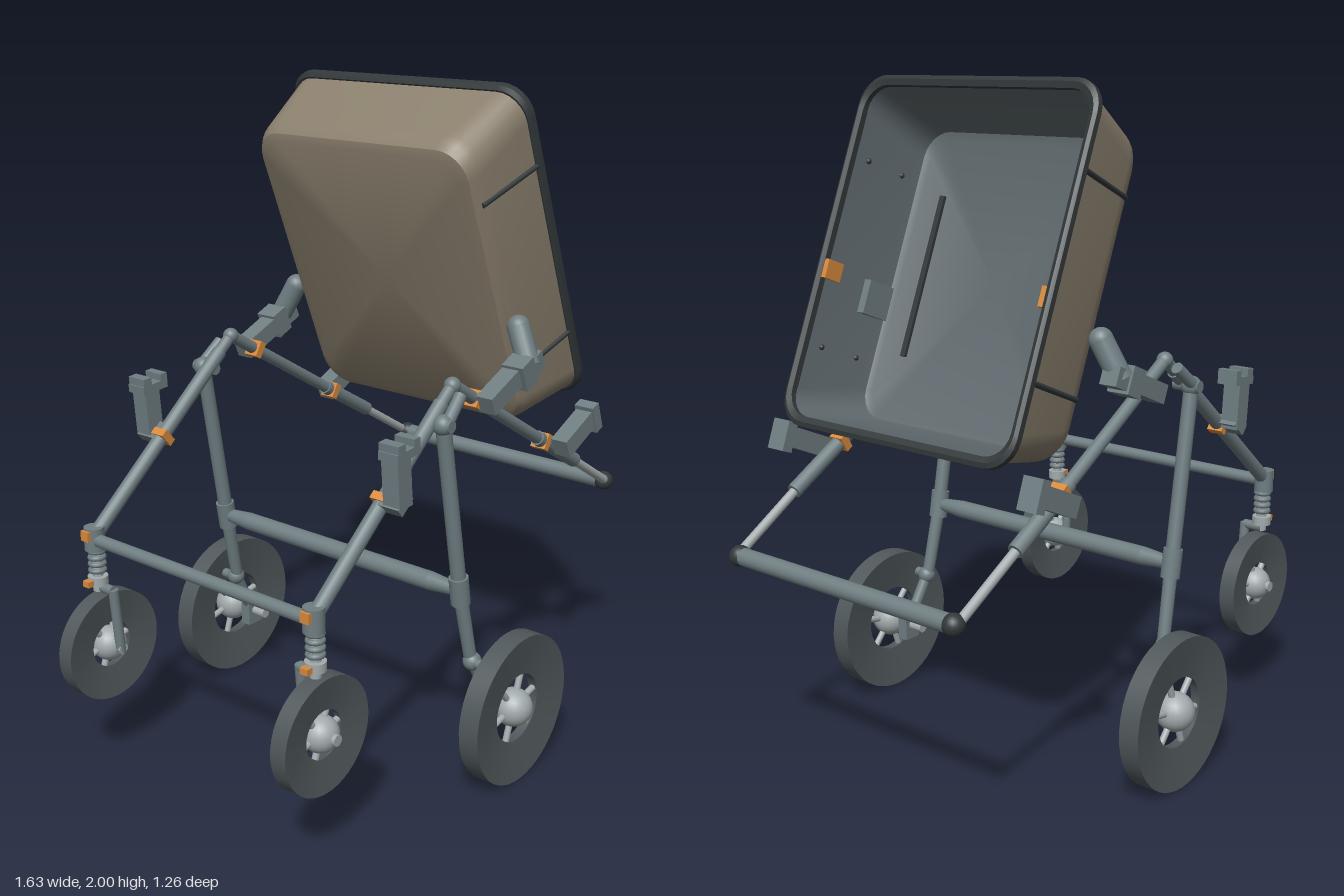
import * as THREE from 'three';
import { toCreasedNormals } from 'three/addons/utils/BufferGeometryUtils.js';

const mat = (name, color) => Object.assign(new THREE.MeshStandardMaterial({ color }), { name });
const steel = mat('blue grey steel', 0x6f7e82);
const bright = mat('light metal', 0xa3abac);
const tyre = mat('dark rubber', 0x50585b);
const trim = mat('black trim', 0x33393b);
const tan = mat('tan shell', 0x8a7f6d);
const lining = mat('grey lining', 0x5f696d);
const orange = mat('orange marker', 0xd98a3d);

const V = (x, y, z) => new THREE.Vector3(x, y, z);

function add(parent, name, geo, material, x = 0, y = 0, z = 0) {
  const m = new THREE.Mesh(geo, material);
  m.name = name;
  m.position.set(x, y, z);
  parent.add(m);
  return m;
}

// Round bar between two points
function rod(parent, name, a, b, r, material = steel, r2 = r) {
  const dir = b.clone().sub(a);
  const m = add(parent, name, new THREE.CylinderGeometry(r2, r, dir.length(), 16), material);
  m.position.copy(a).addScaledVector(dir, 0.5);
  m.quaternion.setFromUnitVectors(V(0, 1, 0), dir.normalize());
  return m;
}

function box(parent, name, size, pos, material = steel, tilt = 0) {
  const m = add(parent, name, new THREE.BoxGeometry(...size), material, ...pos);
  m.rotation.z = tilt;
  return m;
}

const ball = (parent, name, p, r, material = steel) =>
  add(parent, name, new THREE.SphereGeometry(r, 20, 14), material, p.x, p.y, p.z);

// Skin through rounded rectangles given as [half length, half width, corner radius, height]
function loft(rings, { cap = false, flip = false, crease = 0.6 } = {}) {
  const seg = 6, n = 4 * (seg + 1), pos = [], idx = [];
  for (const [a, b, r, h] of rings) {
    for (let q = 0; q < 4; q++) {
      const sx = q === 0 || q === 3 ? 1 : -1, sz = q < 2 ? 1 : -1;
      for (let i = 0; i <= seg; i++) {
        const t = (q + i / seg) * Math.PI / 2;
        pos.push(sx * (a - r) + r * Math.cos(t), h, sz * (b - r) + r * Math.sin(t));
      }
    }
  }
  const tri = (a, b, c) => (flip ? idx.push(a, c, b) : idx.push(a, b, c));
  for (let k = 0; k < rings.length - 1; k++) {
    for (let i = 0; i < n; i++) {
      const j = (i + 1) % n, p = k * n, q = p + n;
      tri(p + i, q + i, q + j);
      tri(p + i, q + j, p + j);
    }
  }
  if (cap) {
    pos.push(0, rings[0][3], 0);
    for (let i = 0; i < n; i++) tri(rings.length * n, i, (i + 1) % n);
  }
  const g = new THREE.BufferGeometry();
  g.setAttribute('position', new THREE.Float32BufferAttribute(pos, 3));
  g.setIndex(idx);
  return toCreasedNormals(g, crease);
}

// Dished tyre with open centre, spokes and a round hub
function wheel(parent, name, x, y, z, R, hole, width, hubR) {
  const g = new THREE.Group();
  g.name = name;
  g.position.set(x, y, z);
  parent.add(g);
  const w = width / 2, i = w * 0.45;
  const profile = [[hole, -i], [R, -w], [R, w], [hole, i], [hole, -i]].map(p => new THREE.Vector2(...p));
  const t = add(g, 'tyre', toCreasedNormals(new THREE.LatheGeometry(profile, 48), 0.5), tyre);
  t.rotation.x = Math.PI / 2;
  ball(g, 'hub', V(0, 0, 0), hubR, bright);
  for (let k = 0; k < 6; k++) {
    const a = k * Math.PI / 3 + 0.2;
    rod(g, 'spoke', V(0, 0, 0), V(Math.cos(a) * (hole + 0.004), Math.sin(a) * (hole + 0.004), 0), 0.01, bright);
  }
  return g;
}

// Tilted open tub; local x runs along its length, local y out of the opening
function tub() {
  const g = new THREE.Group();
  g.name = 'tub';
  g.position.set(0.14, 1.41, 0);
  g.rotation.z = -1.189;
  add(g, 'outerShell', loft([[0.425, 0.35, 0.07, 0], [0.45, 0.377, 0.09, 0.01], [0.465, 0.392, 0.1, 0.035],
    [0.47, 0.397, 0.1, 0.06], [0.505, 0.422, 0.085, 0.275]], { cap: true }), tan);
  add(g, 'innerLining', loft([[0.415, 0.355, 0.06, 0.02], [0.44, 0.375, 0.08, 0.03], [0.452, 0.383, 0.09, 0.06],
    [0.49, 0.41, 0.075, 0.283]], { cap: true, flip: true }), lining);
  add(g, 'rim', loft([[0.488, 0.408, 0.075, 0.262], [0.507, 0.424, 0.085, 0.258], [0.518, 0.432, 0.09, 0.268],
    [0.518, 0.432, 0.09, 0.286], [0.505, 0.422, 0.085, 0.292], [0.488, 0.408, 0.075, 0.286],
    [0.488, 0.408, 0.075, 0.262]]), trim);
  for (const s of [-1, 1]) {
    for (const u of [-0.28, 0.28]) {
      rod(g, 'sideBand', V(u, 0.03, s * 0.391), V(u, 0.272, s * 0.423), 0.008, trim);
      for (const h of [0.09, 0.22]) ball(g, 'innerBolt', V(u, h, s * (0.379 + 0.11 * h)), 0.009, trim);
    }
    box(g, 'floorStrip', [0.49, 0.012, 0.018], [0, 0.024, s * 0.265], trim);
    box(g, 'innerMountPlate', [0.1, 0.1, 0.025], [0.1, 0.08, s * 0.377]);
    box(g, 'tubMarker', [0.055, 0.06, 0.022], [0.06, 0.255, s * 0.402], orange);
  }
  return g;
}

// Everything that repeats on the left and right, s being the sign of z
function side(s) {
  const g = new THREE.Group();
  g.name = s > 0 ? 'nearSide' : 'farSide';
  const P = (x, y, z) => V(x, y, s * z);

  // Main tubes and push handle arm
  const apex = P(-0.1, 1.215, 0.42);
  rod(g, 'frontTube', P(-0.68, 0.735, 0.42), P(-0.15, 1.175, 0.42), 0.022);
  rod(g, 'frontTubeTip', P(-0.15, 1.175, 0.42), apex, 0.018);
  ball(g, 'apexJoint', apex, 0.024);
  rod(g, 'rearTube', apex, P(0.34, 0.95, 0.42), 0.019);
  rod(g, 'rearSleeve', P(0.34, 0.95, 0.42), P(0.56, 0.82, 0.42), 0.023);
  rod(g, 'handleArm', P(0.55, 0.825, 0.42), P(0.78, 0.685, 0.415), 0.014, bright);
  ball(g, 'handleEnd', P(0.78, 0.685, 0.405), 0.031, trim);

  // Rear leg, pivot and axle carrier
  ball(g, 'legPivot', P(-0.187, 1.13, 0.455), 0.03);
  rod(g, 'pivotPin', P(-0.187, 1.13, 0.4), P(-0.187, 1.13, 0.485), 0.018);
  rod(g, 'pivotArm', P(-0.187, 1.13, 0.465), P(-0.11, 1.195, 0.455), 0.018);
  rod(g, 'rearLeg', P(-0.187, 1.13, 0.455), P(-0.1, 0.617, 0.46), 0.022);
  rod(g, 'legCollar', P(-0.107, 0.66, 0.46), P(-0.093, 0.575, 0.46), 0.029);
  rod(g, 'lowerLeg', P(-0.1, 0.617, 0.46), P(-0.05, 0.38, 0.47), 0.021, steel, 0.019);
  ball(g, 'ankle', P(-0.05, 0.38, 0.475), 0.028);
  rod(g, 'anklePin', P(-0.055, 0.38, 0.46), P(-0.055, 0.38, 0.52), 0.015);
  rod(g, 'axleStrut', P(-0.05, 0.38, 0.475), P(0.03, 0.23, 0.485), 0.018);
  box(g, 'axleBlock', [0.06, 0.09, 0.035], [0.03, 0.228, s * 0.485]);
  rod(g, 'rearAxle', P(0.03, 0.23, 0.42), P(0.03, 0.23, 0.57), 0.016, bright);
  wheel(g, 'rearWheel', 0.03, 0.23, s * 0.57, 0.228, 0.105, 0.064, 0.058);

  // Sprung front caster
  rod(g, 'casterHead', P(-0.68, 0.695, 0.42), P(-0.68, 0.765, 0.42), 0.03);
  rod(g, 'casterStem', P(-0.675, 0.565, 0.42), P(-0.675, 0.72, 0.42), 0.016, bright);
  for (let k = 0; k < 4; k++) {
    const ring = add(g, 'springCoil', new THREE.TorusGeometry(0.02, 0.008, 8, 20), steel, -0.675, 0.63 + k * 0.02, s * 0.42);
    ring.rotation.x = Math.PI / 2;
  }
  rod(g, 'casterCollar', P(-0.675, 0.585, 0.42), P(-0.675, 0.612, 0.42), 0.03, bright);
  box(g, 'casterMarker', [0.02, 0.018, 0.025], [-0.712, 0.597, s * 0.42], orange);
  box(g, 'headMarker', [0.015, 0.03, 0.03], [-0.71, 0.745, s * 0.42], orange);
  rod(g, 'forkBridge', P(-0.67, 0.575, 0.425), P(-0.67, 0.575, 0.362), 0.015);
  rod(g, 'forkLeg', P(-0.67, 0.58, 0.362), P(-0.652, 0.375, 0.362), 0.015);
  rod(g, 'frontAxle', P(-0.652, 0.388, 0.35), P(-0.652, 0.388, 0.475), 0.016, bright);
  wheel(g, 'frontWheel', -0.652, 0.388, s * 0.415, 0.167, 0.07, 0.052, 0.052);

  // Upright bracket on the front tube
  box(g, 'frontBracketPost', [0.055, 0.16, 0.055], [-0.407, 1.045, s * 0.47], steel, 0.08);
  box(g, 'frontBracketBase', [0.06, 0.03, 0.08], [-0.4, 0.975, s * 0.455], steel, 0.69);
  box(g, 'frontBracketTop', [0.095, 0.025, 0.065], [-0.4, 1.115, s * 0.472], steel, 0.08);
  box(g, 'frontBracketLip', [0.03, 0.025, 0.065], [-0.43, 1.135, s * 0.472], steel, 0.08);
  box(g, 'frontBracketLip', [0.025, 0.025, 0.065], [-0.366, 1.138, s * 0.472], steel, 0.08);

  // Rear rest bracket
  box(g, 'rearBracketArm', [0.16, 0.06, 0.055], [0.468, 0.945, s * 0.47], steel, 0.42);
  box(g, 'rearBracketPlate', [0.035, 0.09, 0.065], [0.548, 0.978, s * 0.472], steel, 0.35);

  // Tub support arm with angled post
  box(g, 'tubArm', [0.17, 0.055, 0.055], [0.075, 1.175, s * 0.465], steel, 0.4);
  box(g, 'tubArmHead', [0.06, 0.08, 0.07], [0.155, 1.205, s * 0.472], steel, 0.4);
  box(g, 'tubArmTail', [0.06, 0.055, 0.055], [0.205, 1.222, s * 0.472], steel, 0.4);
  rod(g, 'tubPost', P(0.19, 1.215, 0.478), P(0.21, 1.32, 0.425), 0.034);
  ball(g, 'tubPostEnd', P(0.21, 1.32, 0.425), 0.034);

  // Orange clips on the tubes
  for (const [x, y, t] of [[0.005, 1.152, -0.54], [0.37, 0.932, -0.54], [-0.4, 0.967, 0.69]])
    box(g, 'tubeClip', [0.024, 0.05, 0.05], [x, y, s * 0.418], orange, t);
  return g;
}

export function createModel() {
  const model = new THREE.Group();
  model.name = 'tippingCart';
  model.add(tub(), side(1), side(-1));
  // Cross members
  rod(model, 'handleBar', V(0.78, 0.685, -0.4), V(0.78, 0.685, 0.4), 0.026, trim).material = steel;
  rod(model, 'frontCrossbar', V(-0.683, 0.728, -0.41), V(-0.683, 0.728, 0.41), 0.019);
  rod(model, 'rearCrossbar', V(-0.1, 0.617, -0.36), V(-0.1, 0.617, 0.36), 0.028);
  for (const s of [-1, 1])
    rod(model, 'rearCrossbarEnd', V(-0.1, 0.617, s * 0.36), V(-0.1, 0.617, s * 0.455), 0.028, steel, 0.019);
  return model;
}
